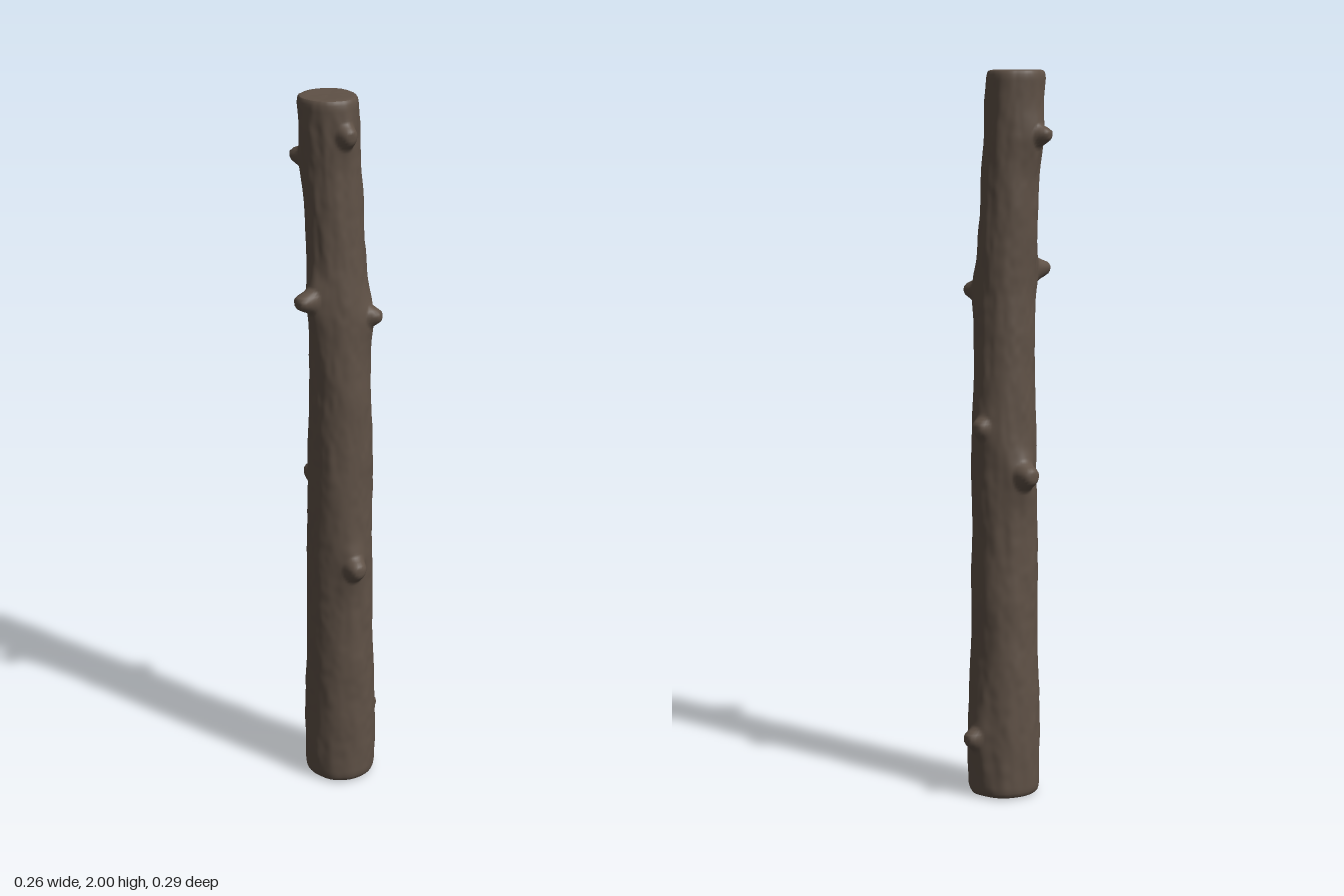
import * as THREE from 'three';

const SIDES = 112;

// Trunk outline: height, min x, max x, min z, max z
const OUTLINE = [
  [0.0, -0.1, 0.098, -0.11, 0.09],
  [0.2, -0.097, 0.1, -0.108, 0.09],
  [0.4, -0.091, 0.1, -0.098, 0.09],
  [0.8, -0.084, 0.1, -0.09, 0.088],
  [1.0, -0.08, 0.098, -0.088, 0.086],
  [1.2, -0.072, 0.095, -0.082, 0.087],
  [1.4, -0.071, 0.088, -0.08, 0.09],
  [1.6, -0.077, 0.072, -0.079, 0.09],
  [1.8, -0.088, 0.064, -0.07, 0.091],
  [2.0, -0.1, 0.061, -0.062, 0.097],
];

// Cut-off twigs: height, tip x, tip z, core radius
const KNOTS = [
  [0.17, 0.01, -0.143, 0.03],
  [0.69, 0.127, 0.052, 0.034],
  [0.91, -0.124, -0.02, 0.036],
  [1.04, 0.0, -0.115, 0.03],
  [1.41, 0.115, -0.046, 0.026],
  [1.465, -0.013, 0.144, 0.03],
  [1.83, -0.131, 0.04, 0.027],
  [1.91, 0.089, 0.042, 0.032],
];

function section(y) {
  let i = 0;
  while (i < OUTLINE.length - 2 && y > OUTLINE[i + 1][0]) i++;
  const a = OUTLINE[i], b = OUTLINE[i + 1];
  const t = (y - a[0]) / (b[0] - a[0]);
  const [x0, x1, z0, z1] = [1, 2, 3, 4].map((k) => THREE.MathUtils.lerp(a[k], b[k], t));
  return { cx: (x0 + x1) / 2, cz: (z0 + z1) / 2, rx: (x1 - x0) / 2, rz: (z1 - z0) / 2 };
}

// Smooth value noise that wraps around the trunk every `period` cells
function hash(i, j) {
  const s = Math.sin(i * 127.1 + j * 311.7) * 43758.5453;
  return s - Math.floor(s);
}
function noise(u, v, period) {
  const i = Math.floor(u), j = Math.floor(v);
  const ease = (t) => t * t * (3 - 2 * t);
  const fu = ease(u - i), fv = ease(v - j);
  const h = (a, b) => hash(((a % period) + period) % period, b);
  const low = THREE.MathUtils.lerp(h(i, j), h(i + 1, j), fu);
  const high = THREE.MathUtils.lerp(h(i, j + 1), h(i + 1, j + 1), fu);
  return THREE.MathUtils.lerp(low, high, fv) * 2 - 1;
}

// Long, slightly twisting bark ridges
function bark(angle, y) {
  const turn = angle / (Math.PI * 2) + y * 0.06;
  return 0.0022 * noise(turn * 9, y * 7, 9)
    + 0.0022 * noise(turn * 24, y * 11, 24)
    + 0.0008 * noise(turn * 40, y * 38, 40);
}

// Stubs are steep above and sweep gradually into the trunk below
function knotHeight(angle, y) {
  let sum = 0;
  for (const [ky, kx, kz, core] of KNOTS) {
    const s = section(ky);
    const dx = kx - s.cx, dz = kz - s.cz;
    const radius = (s.rx + s.rz) / 2;
    const height = Math.hypot(dx, dz) - radius;
    const delta = angle - Math.atan2(dx, dz);
    const u = Math.atan2(Math.sin(delta), Math.cos(delta)) * radius;
    const v = (y - ky) * (y < ky ? 0.7 : 1);
    const stub = 1 - THREE.MathUtils.smoothstep(Math.hypot(u, v), core * 0.35, core);
    const swell = Math.exp(-((u / 0.034) ** 2) - (v / 0.055) ** 2);
    sum += height * (0.65 * stub + 0.35 * swell);
  }
  return sum;
}

// Skins a stack of [height, scale] rings
function skin(name, rings, material) {
  const positions = [], index = [];
  rings.forEach(([y, scale], row) => {
    const s = section(y);
    for (let j = 0; j < SIDES; j++) {
      const angle = (j / SIDES) * Math.PI * 2;
      const extra = bark(angle, y) + knotHeight(angle, y);
      const x = Math.sin(angle) * (s.rx + extra) * scale;
      const z = Math.cos(angle) * (s.rz + extra) * scale;
      // Saw marks roughen the cut ends
      const rough = scale < 0.9 ? 0.0015 * noise(x * 45, z * 45, 1000) * (1 - scale) : 0;
      positions.push(s.cx + x, y + rough, s.cz + z);
      if (row === 0) continue;
      const k = (j + 1) % SIDES;
      const low = (row - 1) * SIDES, high = row * SIDES;
      index.push(low + j, low + k, high + k, low + j, high + k, high + j);
    }
  });
  const geometry = new THREE.BufferGeometry();
  geometry.setAttribute('position', new THREE.Float32BufferAttribute(positions, 3));
  geometry.setIndex(index);
  geometry.computeVertexNormals();
  const mesh = new THREE.Mesh(geometry, material);
  mesh.name = name;
  return mesh;
}

export function createModel() {
  const wood = new THREE.MeshStandardMaterial({ color: 0x5f5146 });
  wood.name = 'brown bark';

  // Trunk with softly rounded rims
  const rings = [[0.003, 0.92], [0.008, 0.965], [0.016, 0.99]];
  const rows = 250;
  for (let i = 0; i <= rows; i++) rings.push([0.026 + (i / rows) * 1.952, 1]);
  rings.push([1.987, 0.985], [1.994, 0.96], [1.998, 0.92]);

  // Flat sawn ends
  const inward = [0.92, 0.85, 0.7, 0.5, 0.25, 0.001];
  const topRings = inward.map((scale) => [scale > 0.9 ? 1.998 : 2, scale]);
  const bottomRings = inward.map((scale) => [scale > 0.9 ? 0.003 : 0, scale]).reverse();

  const group = new THREE.Group();
  group.name = 'log';
  group.add(
    skin('trunk', rings, wood),
    skin('topCut', topRings, wood),
    skin('bottomCut', bottomRings, wood),
  );
  return group;
}
